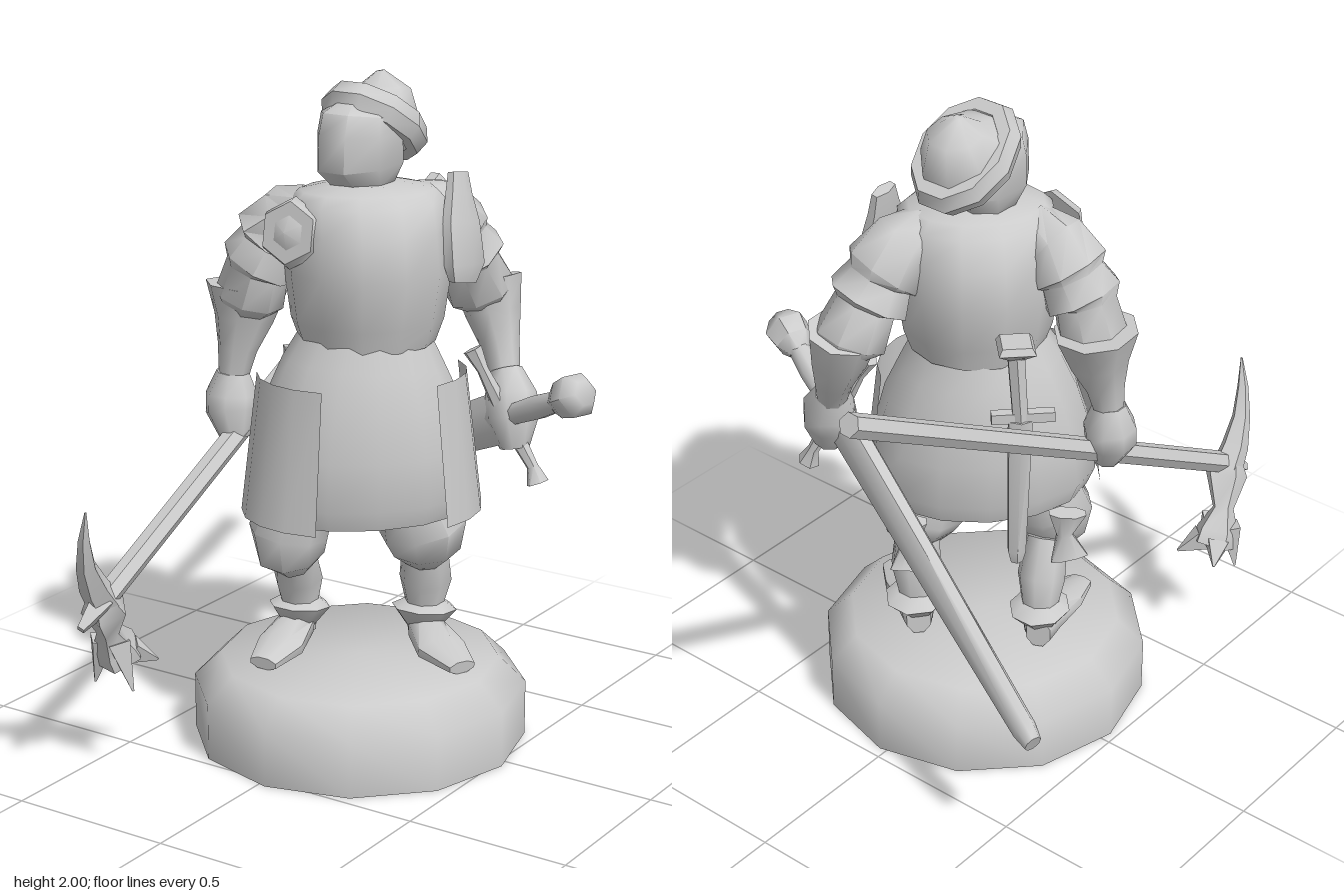
import * as THREE from 'three';
import { toCreasedNormals } from 'three/addons/utils/BufferGeometryUtils.js';

const material = new THREE.MeshStandardMaterial({ color: 0xcccccc, side: THREE.DoubleSide });
const YAW = Math.PI / 4;              // the body is turned towards its left
const BODY_LEFT = [1, 0, -1];

function add(parent, name, geometry, crease = 1) {
  const mesh = new THREE.Mesh(toCreasedNormals(geometry, crease), material);
  mesh.name = name;
  parent.add(mesh);
  return mesh;
}

// Closed loft through rings [x, y, z, radiusAlongSide, otherRadius]
function loft(rings, { n = 8, side = BODY_LEFT } = {}) {
  const centres = rings.map(r => new THREE.Vector3(r[0], r[1], r[2]));
  const pos = [], index = [];
  rings.forEach((r, i) => {
    const t = centres[Math.min(i + 1, rings.length - 1)].clone()
      .sub(centres[Math.max(i - 1, 0)]).normalize();
    const u = new THREE.Vector3(...side);
    u.addScaledVector(t, -u.dot(t)).normalize();
    const v = t.clone().cross(u);
    for (let j = 0; j < n; j++) {
      const a = (j + 0.5) / n * Math.PI * 2;
      const p = centres[i].clone()
        .addScaledVector(u, Math.cos(a) * r[3])
        .addScaledVector(v, Math.sin(a) * (r[4] ?? r[3]));
      pos.push(p.x, p.y, p.z);
      if (i === 0) continue;
      const a0 = (i - 1) * n + j, b0 = (i - 1) * n + (j + 1) % n;
      index.push(a0, b0, b0 + n, a0, b0 + n, a0 + n);
    }
  });
  const last = (rings.length - 1) * n;
  for (let j = 1; j < n - 1; j++) index.push(0, j + 1, j, last, last + j, last + j + 1);
  const g = new THREE.BufferGeometry();
  g.setAttribute('position', new THREE.Float32BufferAttribute(pos, 3));
  g.setIndex(index);
  return g;
}

export function createModel() {
  const model = new THREE.Group();
  model.name = 'footSoldier';
  const part = (name, rings, opts) => add(model, name, loft(rings, opts));

  // Round base, an open shell underneath
  const profile = [[0.502, 0], [0.502, 0.17], [0.42, 0.25], [0, 0.25]].map(p => new THREE.Vector2(...p));
  add(model, 'base', new THREE.LatheGeometry(profile, 12)).position.set(0.023, 0, 0.035);

  // Breastplate and skirt
  part('breastplate', [
    [0.04, 1.23, 0.02, 0.2, 0.19], [0.04, 1.3, 0.02, 0.225, 0.21], [0.04, 1.45, 0.02, 0.245, 0.25],
    [0.04, 1.57, 0.02, 0.235, 0.235], [0.04, 1.65, 0.02, 0.23, 0.19], [0.04, 1.68, 0.02, 0.2, 0.15],
    [0.04, 1.7, 0.02, 0.1, 0.1]], { n: 12 });
  part('skirt', [
    [0.035, 0.72, 0.04, 0.32, 0.23], [0.035, 0.78, 0.04, 0.345, 0.25], [0.035, 0.92, 0.04, 0.33, 0.25],
    [0.035, 1.06, 0.035, 0.29, 0.24], [0.035, 1.17, 0.03, 0.24, 0.21], [0.04, 1.26, 0.02, 0.19, 0.18]], { n: 14 });

  // Thigh plates standing off the skirt
  const plates = new THREE.Group();
  plates.name = 'thighPlates';
  plates.position.set(0.035, 0.93, 0.04);
  plates.rotation.y = YAW;
  model.add(plates);
  for (const [name, start] of [['rightThighPlate', -1.75], ['leftThighPlate', 0.6]]) {
    const g = new THREE.CylinderGeometry(0.31, 0.36, 0.42, 4, 1, true, start, 1.2);
    add(plates, name, g).scale.z = 0.82;
  }

  // Head and hat
  const X = { side: [1, 0, 0] };
  part('head', [
    [0.015, 1.66, 0.01, 0.075, 0.07], [0.015, 1.7, 0.015, 0.1, 0.1], [0.015, 1.75, 0.02, 0.115, 0.165],
    [0.015, 1.84, 0.02, 0.115, 0.16], [0.015, 1.89, 0.015, 0.11, 0.145], [0.015, 1.91, 0.01, 0.07, 0.1]], X);
  const brim = add(model, 'hatBrim', new THREE.TorusGeometry(0.15, 0.04, 6, 10));
  brim.position.set(0.015, 1.86, -0.055);
  brim.rotation.x = Math.PI / 2 - 0.61;
  brim.scale.set(0.8, 1, 1.25);
  part('hatCrown', [
    [0.015, 1.84, -0.04, 0.125, 0.15], [0.015, 1.9, -0.08, 0.115, 0.135],
    [0.015, 1.95, -0.1, 0.08, 0.085], [0.005, 2.0, -0.1, 0.012]], X);

  // Arms: layered sleeve, flared gauntlet, fist
  const arms = {
    right: {
      sleeve: [[-0.1, 1.61, 0.1, 0.08], [-0.18, 1.585, 0.1, 0.1], [-0.23, 1.52, 0.11, 0.12], [-0.235, 1.505, 0.11, 0.1],
        [-0.27, 1.44, 0.12, 0.12], [-0.28, 1.425, 0.12, 0.095], [-0.31, 1.33, 0.12, 0.105], [-0.33, 1.28, 0.12, 0.06]],
      gauntlet: [[-0.335, 1.36, 0.1, 0.125], [-0.34, 1.26, 0.11, 0.09], [-0.35, 1.17, 0.13, 0.06], [-0.36, 1.08, 0.14, 0.045]],
      hand: [[-0.36, 1.1, 0.14, 0.05], [-0.365, 1.03, 0.14, 0.08], [-0.36, 0.98, 0.15, 0.08], [-0.34, 0.9, 0.16, 0.045]],
    },
    left: {
      sleeve: [[0.12, 1.61, -0.11, 0.08], [0.145, 1.59, -0.18, 0.105], [0.17, 1.52, -0.24, 0.12], [0.175, 1.505, -0.245, 0.1],
        [0.19, 1.44, -0.28, 0.125], [0.195, 1.425, -0.29, 0.095], [0.21, 1.33, -0.34, 0.11], [0.22, 1.28, -0.35, 0.06]],
      gauntlet: [[0.215, 1.36, -0.365, 0.105], [0.24, 1.26, -0.36, 0.085], [0.275, 1.17, -0.345, 0.06], [0.31, 1.08, -0.32, 0.045]],
      hand: [[0.31, 1.1, -0.32, 0.05], [0.34, 1.03, -0.3, 0.08], [0.355, 0.97, -0.28, 0.085], [0.375, 0.88, -0.27, 0.045]],
    },
  };
  for (const [s, arm] of Object.entries(arms))
    for (const [p, rings] of Object.entries(arm)) part(`${s}Arm ${p}`, rings);

  // Shoulder plates
  const disc = new THREE.Group();
  disc.name = 'rightShoulderDisc';
  add(disc, 'disc', new THREE.CylinderGeometry(0.09, 0.105, 0.03, 6));
  add(disc, 'discBoss', new THREE.ConeGeometry(0.06, 0.03, 6)).position.y = 0.025;
  disc.position.set(-0.075, 1.575, 0.245);
  disc.rotation.set(Math.PI / 2 - 0.2, 0.1, 0, 'YXZ');
  model.add(disc);
  part('leftShoulderPlate', [
    [0.29, 1.41, -0.1, 0.07, 0.02], [0.29, 1.46, -0.11, 0.1, 0.03], [0.27, 1.58, -0.12, 0.09, 0.03],
    [0.25, 1.66, -0.14, 0.06, 0.025], [0.24, 1.72, -0.15, 0.045, 0.02]], { n: 6, side: [0, 0, 1] });

  // Legs: breeches, calf, boot cuff, shoe, garter bow
  const legs = {
    right: {
      breeches: [[-0.16, 0.53, 0.12, 0.06], [-0.15, 0.575, 0.15, 0.105], [-0.15, 0.64, 0.16, 0.12], [-0.13, 0.72, 0.14, 0.11], [-0.1, 0.88, 0.1, 0.12]],
      calf: [[-0.2, 0.28, 0.03, 0.05], [-0.2, 0.36, 0.03, 0.055], [-0.19, 0.46, 0.05, 0.075], [-0.17, 0.57, 0.1, 0.065]],
      bootCuff: [[-0.2, 0.3, 0.04, 0.05], [-0.2, 0.36, 0.03, 0.095], [-0.2, 0.39, 0.03, 0.05]],
      shoe: [[-0.235, 0.3, -0.02, 0.04, 0.05], [-0.2, 0.3, 0.05, 0.06, 0.05], [-0.16, 0.285, 0.19, 0.075, 0.035], [-0.14, 0.27, 0.31, 0.045, 0.02]],
      bow: [[-0.3, 0.75, 0.03, 0.06, 0.03], [-0.29, 0.67, 0.03, 0.025], [-0.31, 0.59, 0.03, 0.06, 0.02]],
    },
    left: {
      breeches: [[0.15, 0.53, -0.12, 0.06], [0.16, 0.575, -0.11, 0.11], [0.16, 0.64, -0.1, 0.135], [0.14, 0.72, -0.08, 0.115], [0.1, 0.88, -0.05, 0.12]],
      calf: [[0.13, 0.28, -0.16, 0.05], [0.13, 0.36, -0.16, 0.055], [0.14, 0.46, -0.15, 0.08], [0.15, 0.57, -0.13, 0.07]],
      bootCuff: [[0.13, 0.3, -0.15, 0.05], [0.13, 0.36, -0.16, 0.1], [0.13, 0.39, -0.16, 0.05]],
      shoe: [[0.09, 0.3, -0.2, 0.04, 0.05], [0.15, 0.3, -0.14, 0.06, 0.05], [0.26, 0.285, -0.05, 0.08, 0.035], [0.37, 0.27, 0.01, 0.045, 0.02]],
      bow: [[0.03, 0.75, -0.31, 0.06, 0.03], [0.04, 0.67, -0.29, 0.025], [0.02, 0.59, -0.32, 0.06, 0.02]],
    },
  };
  for (const [s, leg] of Object.entries(legs))
    for (const [p, rings] of Object.entries(leg)) part(`${s}Leg ${p}`, rings);

  // War hammer held low in the right hand
  part('hammerShaft', [[-0.285, 1.51, -0.89, 0.035], [-0.36, 0.57, 0.78, 0.035]], { n: 6 });
  part('hammerTopSpike', [[-0.36, 0.57, 0.78, 0.045], [-0.37, 0.51, 0.87, 0.015]], { n: 4 });
  part('hammerBeak', [[-0.37, 0.54, 0.75, 0.055], [-0.365, 0.62, 0.81, 0.045], [-0.35, 0.7, 0.86, 0.03],
    [-0.33, 0.79, 0.89, 0.018], [-0.31, 0.88, 0.905, 0.003]], { n: 5 });
  part('hammerNeck', [[-0.37, 0.6, 0.79, 0.03], [-0.37, 0.54, 0.76, 0.07], [-0.4, 0.45, 0.71, 0.035],
    [-0.41, 0.39, 0.67, 0.07], [-0.41, 0.35, 0.65, 0.075]], { n: 5 });
  for (const [dx, dz] of [[1, 1], [1, -1], [-1, 1], [-1, -1]])
    part('hammerProng', [[-0.41 + dx * 0.03, 0.39 + dz * 0.02, 0.66 + dz * 0.03, 0.045],
      [-0.4 + dx * 0.07, 0.3 - dz * 0.03, 0.63 + dz * 0.06, 0.004]], { n: 4 });

  // Sheathed sword at the left hip
  const pommel = new THREE.Vector3(0.68, 1.13, -0.14), tip = new THREE.Vector3(-0.69, 0.49, -0.62);
  const at = (t, r1, r2) => [...pommel.clone().lerp(tip, t).toArray(), r1, r2 ?? r1];
  const flat = { n: 8, side: [0, 1, 0] };
  part('scabbard', [at(0.25, 0.085, 0.045), at(0.6, 0.068, 0.04), at(0.97, 0.046, 0.034), at(1, 0.035, 0.025)], flat);
  part('swordGrip', [at(0.05, 0.03), at(0.14, 0.038), at(0.26, 0.03)], flat);
  part('swordPommel', [at(0, 0.04), at(0.025, 0.07), at(0.06, 0.06), at(0.09, 0.03)], { n: 6, side: [0, 1, 0] });
  part('swordGuard', [[0.26, 1.18, -0.21, 0.03], [0.29, 1.12, -0.22, 0.018], [0.36, 0.97, -0.25, 0.03],
    [0.43, 0.83, -0.28, 0.018], [0.45, 0.78, -0.28, 0.035]], { n: 6 });

  // Dagger hanging behind the right hip
  part('daggerPommel', [[-0.22, 1.33, -0.12, 0.03], [-0.22, 1.36, -0.12, 0.075], [-0.22, 1.38, -0.12, 0.06]], { n: 4 });
  part('daggerGrip', [[-0.23, 1.12, -0.11, 0.025], [-0.22, 1.34, -0.12, 0.028]], { n: 6 });
  part('daggerGuard', [[-0.3, 1.13, -0.04, 0.022], [-0.17, 1.13, -0.17, 0.022]], { n: 4, side: [0, 1, 0] });
  part('daggerSheath', [[-0.22, 0.62, -0.11, 0.02], [-0.22, 0.66, -0.11, 0.03], [-0.23, 1.12, -0.11, 0.04, 0.03]], { n: 6 });

  return model;
}
